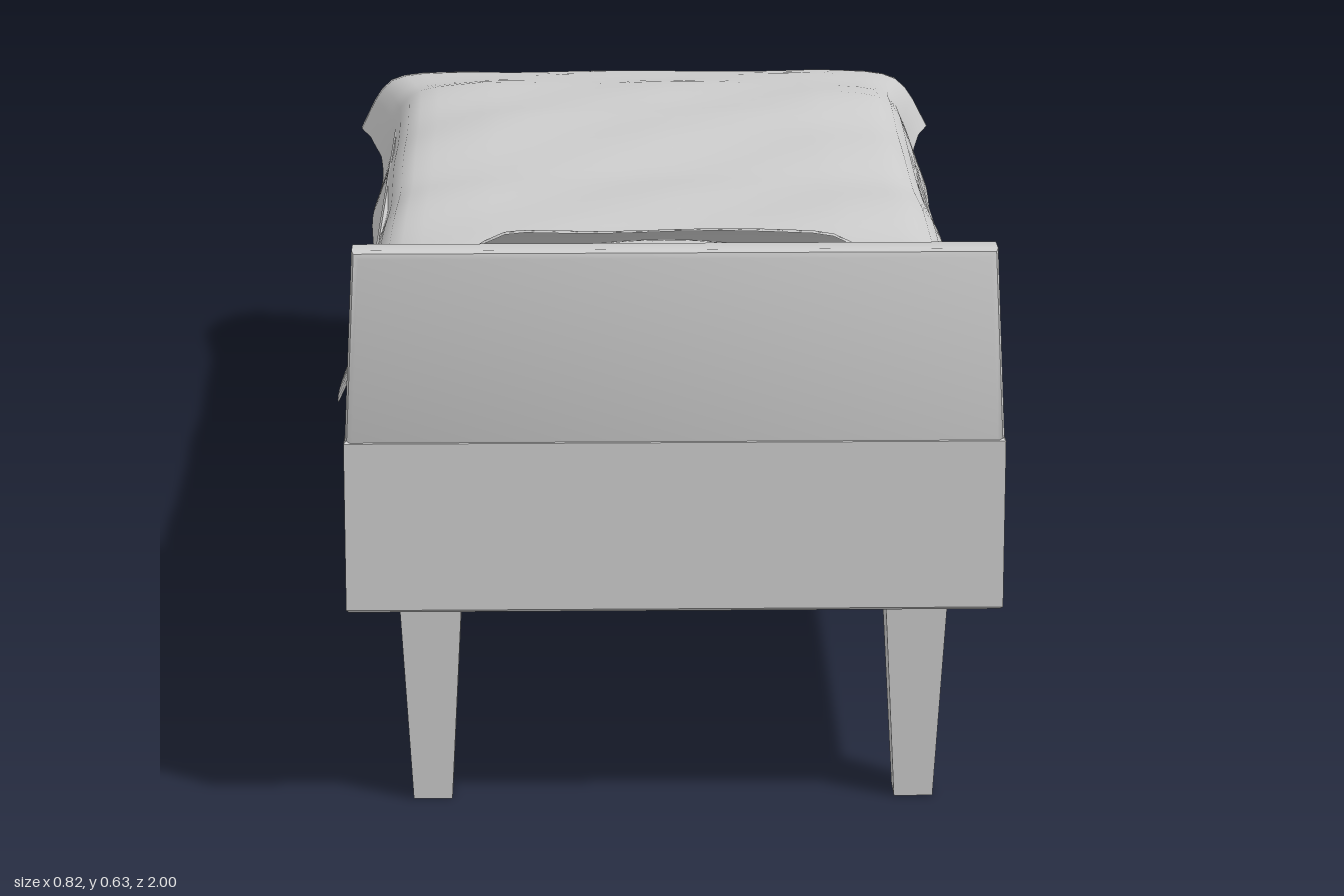
import * as THREE from 'three';
import { mergeVertices, toCreasedNormals } from 'three/addons/utils/BufferGeometryUtils.js';

const grey = new THREE.MeshStandardMaterial({ color: 0xcccccc });
const cloth = new THREE.MeshStandardMaterial({ color: 0xcccccc, side: THREE.DoubleSide });
const CX = 0.005; // centre line of the bedstead

const smooth = (a, b, x) => THREE.MathUtils.smoothstep(x, a, b);

// Linear look-up in a table of rows sorted by their first value
function lookup(rows, t) {
  let i = 0;
  while (i < rows.length - 2 && t > rows[i + 1][0]) i++;
  const [a, b] = [rows[i], rows[i + 1]];
  const k = THREE.MathUtils.clamp((t - a[0]) / (b[0] - a[0]), 0, 1);
  return a.map((v, j) => v + (b[j] - v) * k);
}

// Surface from a rule: u and v run from 0 to 1, fn returns [x, y, z]
function sheet(nu, nv, fn) {
  const g = new THREE.PlaneGeometry(1, 1, nu, nv);
  const p = g.attributes.position;
  for (let i = 0; i < p.count; i++) p.setXYZ(i, ...fn(p.getX(i) + 0.5, 0.5 - p.getY(i)));
  g.computeVertexNormals();
  return g;
}

function add(parent, name, geometry, material = grey) {
  const mesh = new THREE.Mesh(geometry, material);
  mesh.name = name;
  parent.add(mesh);
  return mesh;
}

// Rectangular ring of rails around the mattress
function frameGeometry() {
  const rect = (T, x, z0, z1) => new T([[-x, z0], [x, z0], [x, z1], [-x, z1]].map(p => new THREE.Vector2(...p)));
  const s = rect(THREE.Shape, 0.347, -0.997, 0.857);
  s.holes.push(rect(THREE.Path, 0.323, -0.91, 0.83));
  const g = new THREE.ExtrudeGeometry(s, {
    depth: 0.184, bevelSize: 0.003, bevelThickness: 0.003, bevelSegments: 1,
  });
  return g.rotateX(-Math.PI / 2).translate(CX, 0.238, 0);
}

// Headboard panel, narrowing towards the top
function headboardGeometry() {
  const s = new THREE.Shape([[-0.341, 0.425], [0.341, 0.425], [0.331, 0.622], [-0.331, 0.622]]
    .map(p => new THREE.Vector2(...p)));
  const g = new THREE.ExtrudeGeometry(s, {
    depth: 0.029, bevelSize: 0.008, bevelThickness: 0.008, bevelSegments: 2,
  });
  return toCreasedNormals(g.translate(CX, 0, 0.963), 0.6);
}

// Square tapered leg
function legGeometry() {
  const r = Math.SQRT2;
  return new THREE.CylinderGeometry(0.034 * r, 0.021 * r, 0.238, 4, 1)
    .rotateY(Math.PI / 4).toNonIndexed();
}

// Puffed pillow with pinched corners, drawn as an upper and a lower sheet
function pillowSide(sign) {
  return sheet(20, 20, (u, v) => {
    const a = u * 2 - 1, b = v * 2 - 1;
    const puff = Math.pow((1 - a * a) * (1 - b * b), 0.42);
    const x = a * (0.18 + 0.035 * b * b * b * b);
    const z = b * (0.15 + 0.025 * a * a * a * a);
    const seam = 0.49 - 0.1 * z;
    return [CX - 0.005 + x * sign, seam + sign * puff * (sign > 0 ? 0.075 : 0.058), 0.75 + z];
  });
}

// Blanket: stations of v, z, top height, hem height, half width
const stations = [
  [0.00, -0.950, 0.405, 0.335, 0.385],
  [0.03, -0.920, 0.425, 0.345, 0.402],
  [0.07, -0.870, 0.443, 0.360, 0.408],
  [0.12, -0.790, 0.455, 0.365, 0.390],
  [0.20, -0.660, 0.470, 0.365, 0.374],
  [0.35, -0.400, 0.484, 0.366, 0.368],
  [0.55, -0.060, 0.472, 0.368, 0.366],
  [0.70, 0.200, 0.478, 0.372, 0.368],
  [0.86, 0.470, 0.472, 0.378, 0.371],
  [0.91, 0.550, 0.500, 0.380, 0.371],
  [0.96, 0.620, 0.550, 0.383, 0.370],
  [0.985, 0.655, 0.572, 0.385, 0.368],
  [1.00, 0.670, 0.572, 0.387, 0.366],
];
// Half cross-section: position from centre to hem, share of width, share of drop
const section = [
  [0, 0, 0], [0.55, 0.62, 0.02], [0.7, 0.83, 0.08], [0.8, 0.91, 0.22],
  [0.88, 0.95, 0.5], [1, 1, 1],
];

function blanketGeometry() {
  return sheet(36, 64, (u, v) => {
    const t = 1 - v, a = u * 2 - 1;
    const [, z, top, hem, width] = lookup(stations, t);
    const [, wx, drop] = lookup(section, Math.abs(a));
    const foot = 1 - smooth(0, 0.16, t), head = smooth(0.88, 1, t);
    const flat = Math.min(top, 0.475);
    // the rise over the pillow fades out before the sides
    const rise = (top - flat) * (1 - smooth(0.45, 0.95, wx));
    const wave = 0.003 * Math.sin(z * 19 + a * 4) * Math.cos(a * 5) * (1 - foot);
    const sideWave = 0.004 * Math.sin(z * 13 + Math.sign(a)) * drop;
    const x = Math.sign(a) * (wx * width + sideWave) + 0.006 * (1 - foot);
    const y = flat + rise - (flat - hem) * drop + wave;
    const corner = smooth(0.35, 0.85, wx) - 0.45 * smooth(0.88, 1, wx);
    return [x, y, z - foot * foot * 0.05 * corner + head * 0.04 * smooth(0.5, 1, wx)];
  });
}

export function createModel() {
  const bed = new THREE.Group();
  bed.name = 'bed';

  add(bed, 'frame', frameGeometry());
  add(bed, 'headboard', headboardGeometry());

  // Mattress sits inside the rails, leaving a shallow recess underneath
  add(bed, 'mattress', new THREE.BoxGeometry(0.646, 0.15, 1.74).translate(CX, 0.354, 0.04));

  const leg = legGeometry();
  leg.computeVertexNormals();
  for (const side of [-1, 1]) {
    for (const [end, z] of [['front', 0.91], ['back', -0.775]]) {
      add(bed, end + (side > 0 ? 'Left' : 'Right') + 'Leg', leg).position.set(CX + side * 0.262, 0.119, z);
    }
  }

  const pillow = new THREE.Group();
  pillow.name = 'pillow';
  add(pillow, 'pillowTop', pillowSide(1), cloth);
  add(pillow, 'pillowUnderside', pillowSide(-1), cloth);
  bed.add(pillow);

  add(bed, 'blanket', mergeVertices(blanketGeometry()), cloth);
  return bed;
}
